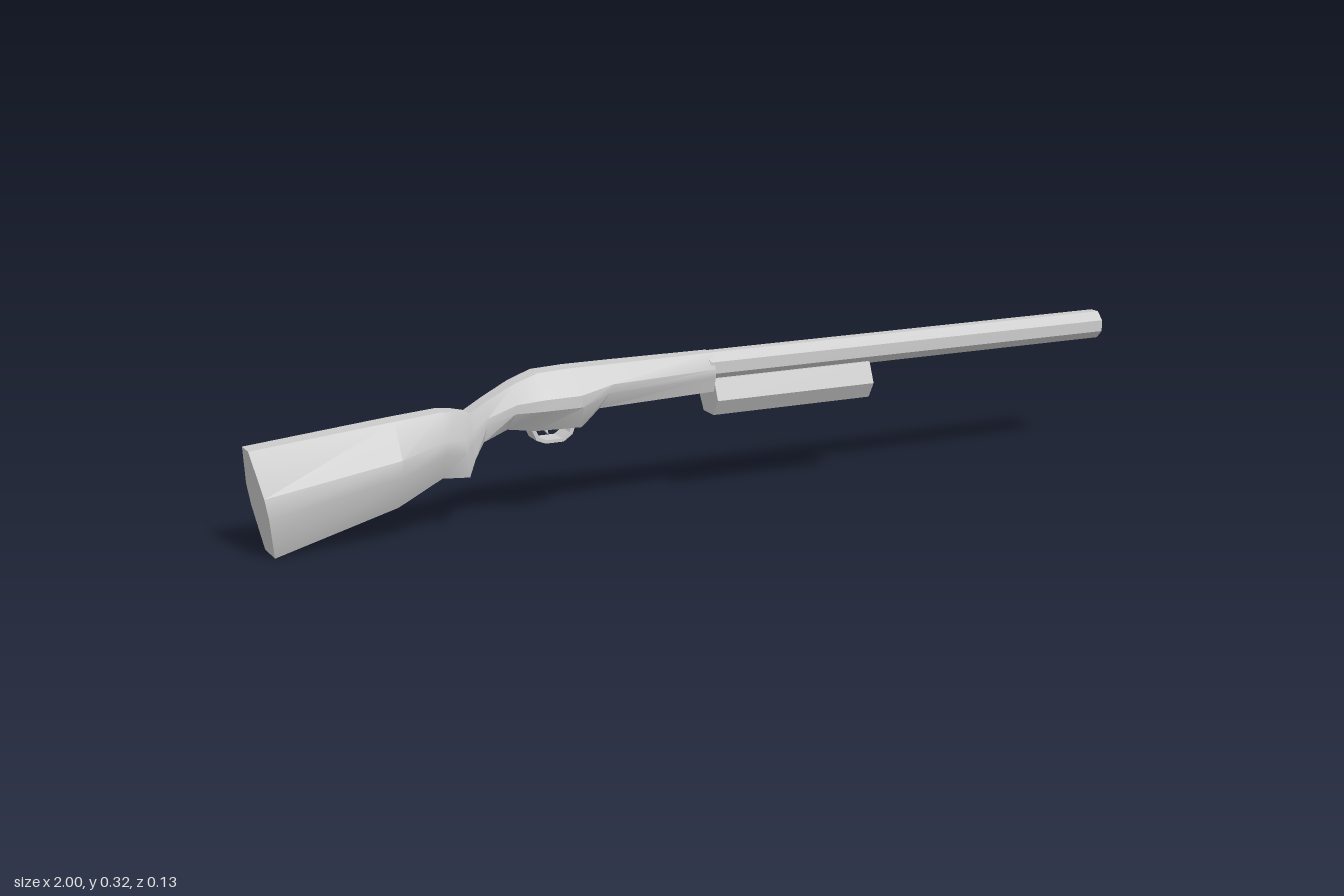
import * as THREE from 'three';
import { toCreasedNormals } from 'three/addons/utils/BufferGeometryUtils.js';

const smoothMat = new THREE.MeshStandardMaterial({ color: 0xcccccc });
const flatMat = new THREE.MeshStandardMaterial({ color: 0xcccccc, flatShading: true });

// Eight-sided loft along x; each station is
// [xTop, xBottom, yTop, yBottom, halfTop, halfMiddle, halfBottom]
function loft(stations) {
  const pos = [], idx = [], n = 8;
  for (const [xt, xb, yt, yb, zt, zm, zb] of stations) {
    const half = [[1, zt], [0.6, zm], [0.4, zm], [0, zb]];
    const ring = [...half, ...half.slice().reverse().map(([f, z]) => [f, -z])];
    for (const [f, z] of ring) pos.push(xb + (xt - xb) * f, yb + (yt - yb) * f, z);
  }
  const last = (stations.length - 1) * n;
  for (let i = 0; i < last; i += n) {
    for (let j = 0; j < n; j++) {
      const a = i + j, b = i + (j + 1) % n;
      idx.push(a, b, a + n, b, b + n, a + n);
    }
  }
  for (let j = 1; j < n - 1; j++) {
    idx.push(0, j + 1, j, last, last + j, last + j + 1);
  }
  const g = new THREE.BufferGeometry();
  g.setAttribute('position', new THREE.Float32BufferAttribute(pos, 3));
  g.setIndex(idx);
  return toCreasedNormals(g, 0.55);
}

const polygon = pts => new THREE.Shape(pts.map(([x, y]) => new THREE.Vector2(x, y)));

function extrude(pts, depth) {
  return new THREE.ExtrudeGeometry(polygon(pts), { depth, bevelEnabled: false });
}

export function createModel() {
  const group = new THREE.Group();
  const add = (name, geometry, material = flatMat) => {
    const mesh = new THREE.Mesh(geometry, material);
    mesh.name = name;
    group.add(mesh);
    return mesh;
  };

  // Shoulder stock, grip and receiver in one flowing body
  add('stockAndReceiver', loft([
    [-1.00, -0.96, 0.220, 0.000, 0.022, 0.065, 0.035],
    [-0.70, -0.70, 0.247, 0.070, 0.022, 0.065, 0.030],
    [-0.60, -0.60, 0.255, 0.115, 0.020, 0.045, 0.016],
    [-0.57, -0.54, 0.252, 0.110, 0.020, 0.034, 0.015],
    [-0.54, -0.53, 0.245, 0.150, 0.018, 0.026, 0.024],
    [-0.50, -0.51, 0.268, 0.182, 0.018, 0.030, 0.020],
    [-0.44, -0.46, 0.298, 0.204, 0.020, 0.052, 0.024],
    [-0.39, -0.40, 0.315, 0.196, 0.022, 0.066, 0.032],
    [-0.32, -0.30, 0.318, 0.194, 0.022, 0.066, 0.036],
    [-0.22, -0.26, 0.318, 0.230, 0.022, 0.056, 0.036],
    [0.01, 0.01, 0.318, 0.235, 0.016, 0.035, 0.026],
  ]), smoothMat);

  // Octagonal barrel with a conical bore
  const profile = [[0, 0], [0.033, 0], [0.033, 1], [0.027, 1], [0, 0.85]]
    .map(([r, y]) => new THREE.Vector2(r, y));
  const barrel = add('barrel', new THREE.LatheGeometry(profile, 8, Math.PI / 8));
  barrel.rotation.z = -Math.PI / 2;
  barrel.position.y = 0.287;

  // Six-sided sliding grip under the barrel
  const slide = add('foreGrip', extrude([
    [0.024, 0.183], [0.045, 0.218], [0.026, 0.262],
    [-0.026, 0.262], [-0.045, 0.218], [-0.024, 0.183],
  ], 0.38));
  slide.rotation.y = Math.PI / 2;
  slide.position.x = 0.01;

  // Raised ejection panel on the right side
  const panel = add('ejectionPanel', new THREE.BoxGeometry(0.2, 0.03, 0.012));
  panel.position.set(-0.16, 0.262, -0.052);
  panel.rotation.y = -0.09;

  // Trigger guard strip and trigger
  const guard = add('triggerGuard', extrude([
    [-0.41, 0.205], [-0.395, 0.172], [-0.375, 0.164], [-0.335, 0.164], [-0.315, 0.178], [-0.305, 0.205],
    [-0.312, 0.205], [-0.322, 0.183], [-0.338, 0.171], [-0.373, 0.171], [-0.389, 0.178], [-0.401, 0.205],
  ], 0.044));
  guard.position.z = -0.022;
  const trigger = add('trigger', extrude([
    [-0.375, 0.205], [-0.372, 0.19], [-0.362, 0.178], [-0.364, 0.19], [-0.362, 0.205],
  ], 0.012));
  trigger.position.z = -0.006;

  return group;
}
